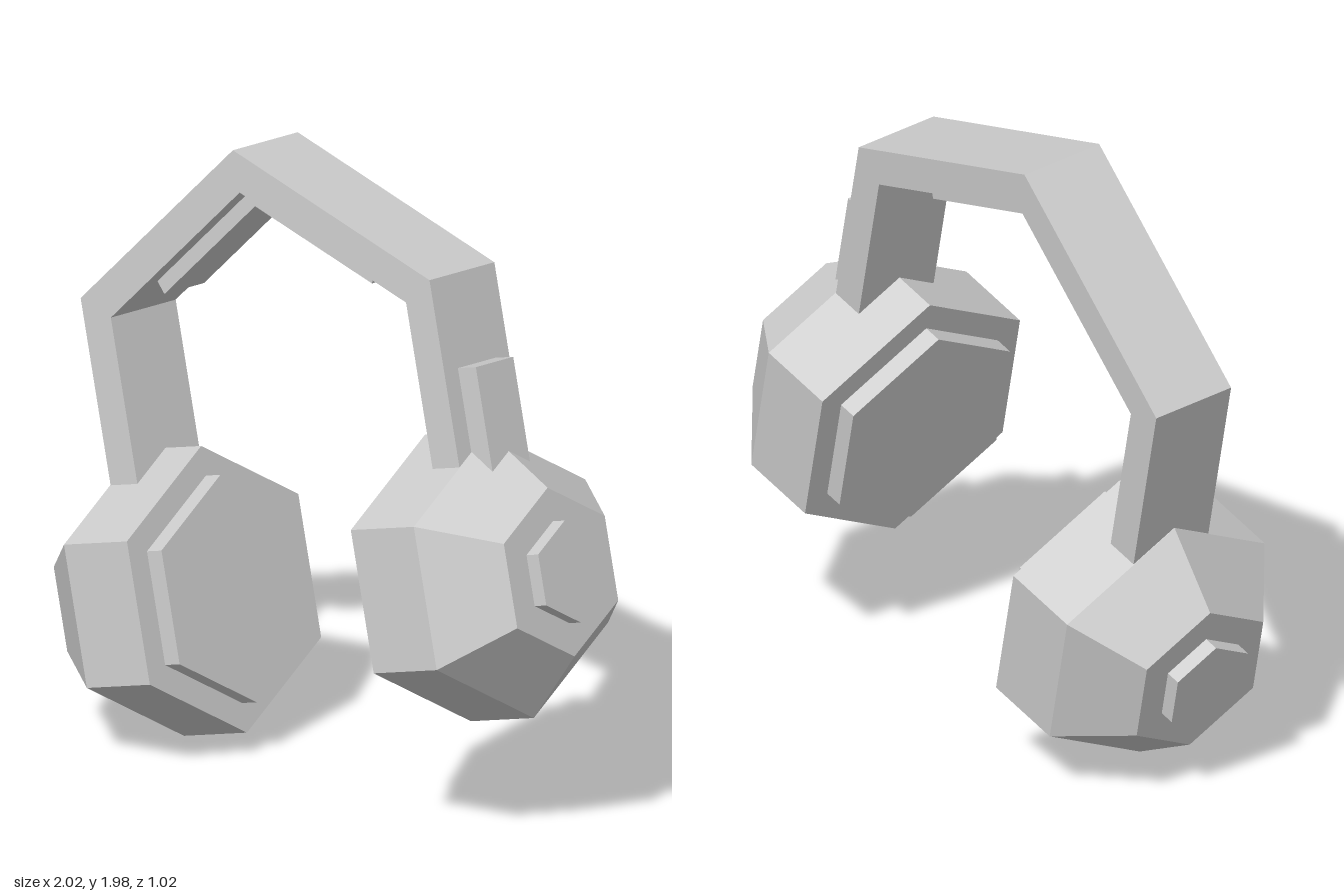
import * as THREE from 'three';

const material = new THREE.MeshStandardMaterial({ color: 0xcccccc, flatShading: true });

function add(parent, name, geometry) {
  const mesh = new THREE.Mesh(geometry, material);
  mesh.name = name;
  parent.add(mesh);
  return mesh;
}

// Outline in x/y, extruded to a depth centred on z = 0
function slab(points, depth) {
  const shape = new THREE.Shape(points.map(([x, y]) => new THREE.Vector2(x, y)));
  return new THREE.ExtrudeGeometry(shape, { depth, bevelEnabled: false }).translate(0, 0, -depth / 2);
}

// Closes a right-hand outline with its mirror image; both ends lie on x = 0
function mirrored(outer, inner) {
  const flip = ([x, y]) => [-x, y];
  return [...outer, ...inner,
    ...inner.slice(0, -1).reverse().map(flip), ...outer.slice(1).reverse().map(flip)];
}

// Six-sided solid along x, point up; the profile lists [radius, distance outward]
function hexSolid(profile, side) {
  return new THREE.LatheGeometry(profile.map(([r, t]) => new THREE.Vector2(r, t)), 6)
    .rotateY(Math.PI / 6)
    .rotateZ(-side * Math.PI / 2);
}

const hexDisc = (r, from, to, side) => hexSolid([[0, from], [r, from], [r, to], [0, to]], side);

export function createModel() {
  const model = new THREE.Group();
  model.name = 'headphones';

  // The whole headset leans to one side and turns slightly
  const body = new THREE.Group();
  body.name = 'headset';
  const ex = new THREE.Vector3(0.949, 0.274, -0.158).normalize();
  const ey = new THREE.Vector3(0.15, 0.07, 0.985).cross(ex).normalize();
  const ez = ex.clone().cross(ey);
  body.quaternion.setFromRotationMatrix(new THREE.Matrix4().makeBasis(ex, ey, ez));
  body.position.set(-0.005, 0.638, 0);
  model.add(body);

  // Peaked headband with straight legs that end inside the cups
  add(body, 'headband', slab(mirrored(
    [[0, 1.389], [0.748, 0.953], [0.748, 0.25]],
    [[0.633, 0.25], [0.633, 0.887], [0, 1.256]]), 0.295));

  // Cushion under the peak
  add(body, 'headbandPad', slab(mirrored(
    [[0, 1.266], [0.47, 0.992], [0.445, 0.943]],
    [[0, 1.202]]), 0.18));

  // Adjuster on the left leg only
  add(body, 'adjuster', new THREE.BoxGeometry(0.095, 0.415, 0.17)).position.set(0.7775, 0.4575, 0);

  // Ear cups
  for (const side of [1, -1]) {
    const cup = new THREE.Group();
    cup.name = side > 0 ? 'leftEarCup' : 'rightEarCup';
    body.add(cup);
    add(cup, 'shell', hexSolid([[0, 0.48], [0.45, 0.48], [0.45, 0.75], [0.265, 0.965], [0, 0.965]], side));
    add(cup, 'earCushion', hexDisc(0.357, 0.418, 0.49, side));
    add(cup, 'outerCap', hexDisc(0.16, 0.95, 1.015, side));
  }
  return model;
}
